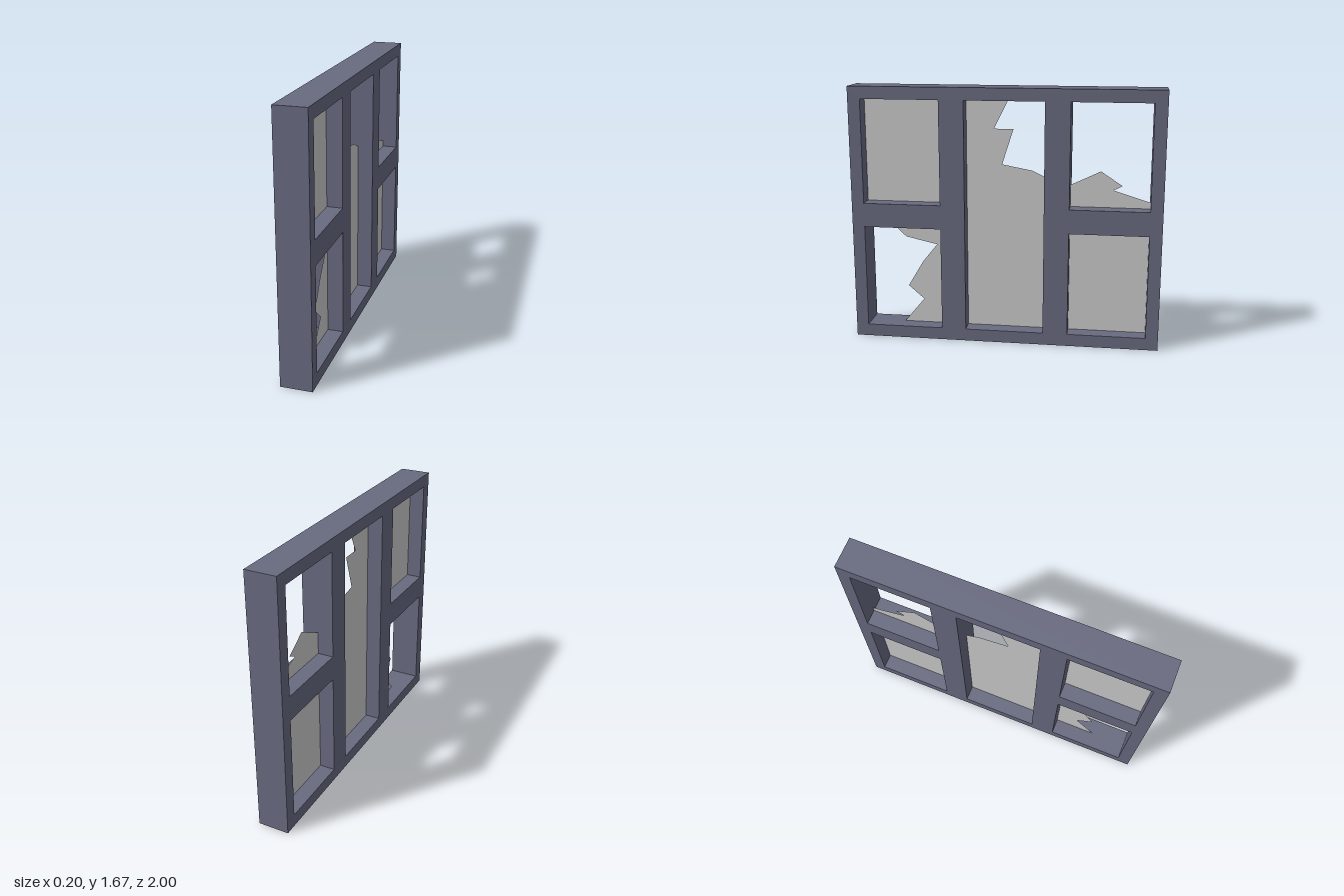
import * as THREE from 'three';

// Profiles are drawn as (u, y) with u = -z, then turned to face +x.
const HEIGHT = 1.67, DEPTH = 0.2;
const OUTER = 0.92, INNER = 0.415, MID = 0.255;
const BOTTOM = 0.08, RAIL_LOW = 0.757, RAIL_HIGH = 0.914, TOP = 1.59;

const rect = (u0, y0, u1, y1) => [[u0, y0], [u1, y0], [u1, y1], [u0, y1]];
const points = (list) => list.map(([u, y]) => new THREE.Vector2(u, y));

export function createModel() {
  const model = new THREE.Group();
  model.name = 'brokenWindow';
  const frameMaterial = new THREE.MeshStandardMaterial({ color: 0x686a80, flatShading: true });
  const glassMaterial = new THREE.MeshStandardMaterial({ color: 0xcccccc, side: THREE.DoubleSide });

  const add = (name, geometry, material) => {
    geometry.rotateY(Math.PI / 2);
    const mesh = new THREE.Mesh(geometry, material);
    mesh.name = name;
    model.add(mesh);
  };

  // Frame with five openings
  const openings = [
    rect(-OUTER, BOTTOM, -INNER, RAIL_LOW),
    rect(-OUTER, RAIL_HIGH, -INNER, TOP),
    rect(-MID, BOTTOM, MID, TOP),
    rect(INNER, BOTTOM, OUTER, RAIL_LOW),
    rect(INNER, RAIL_HIGH, OUTER, TOP),
  ];
  const frame = new THREE.Shape(points(rect(-1, 0, 1, HEIGHT)));
  openings.forEach((o) => frame.holes.push(new THREE.Path(points(o))));
  const frameGeometry = new THREE.ExtrudeGeometry(frame, { depth: DEPTH, bevelEnabled: false });
  frameGeometry.translate(0, 0, -DEPTH / 2);
  add('frame', frameGeometry, frameMaterial);

  // Glass: two whole panes and three with jagged breaks
  const panes = {
    upperFrontPane: openings[1],
    lowerBackPane: openings[3],
    brokenCentrePane: [
      [-MID, BOTTOM], [MID, BOTTOM], [MID, 1.1], [0.17, 1.14], [-0.025, 1.176],
      [0.048, 1.404], [-0.077, 1.404], [0.016, TOP], [-MID, TOP],
    ],
    brokenUpperBackPane: [
      [INNER, RAIL_HIGH], [OUTER, RAIL_HIGH], [OUTER, 0.955], [0.688, 1.027],
      [0.743, 1.056], [0.605, 1.147], [INNER, 1.055],
    ],
    brokenLowerFrontPane: [
      [-0.69, BOTTOM], [-INNER, BOTTOM], [-INNER, RAIL_LOW], [-0.754, RAIL_LOW],
      [-0.668, 0.674], [-0.46, 0.628], [-0.556, 0.508], [-0.66, 0.334], [-0.556, 0.243],
    ],
  };
  for (const [name, outline] of Object.entries(panes)) {
    add(name, new THREE.ShapeGeometry(new THREE.Shape(points(outline))), glassMaterial);
  }
  return model;
}
